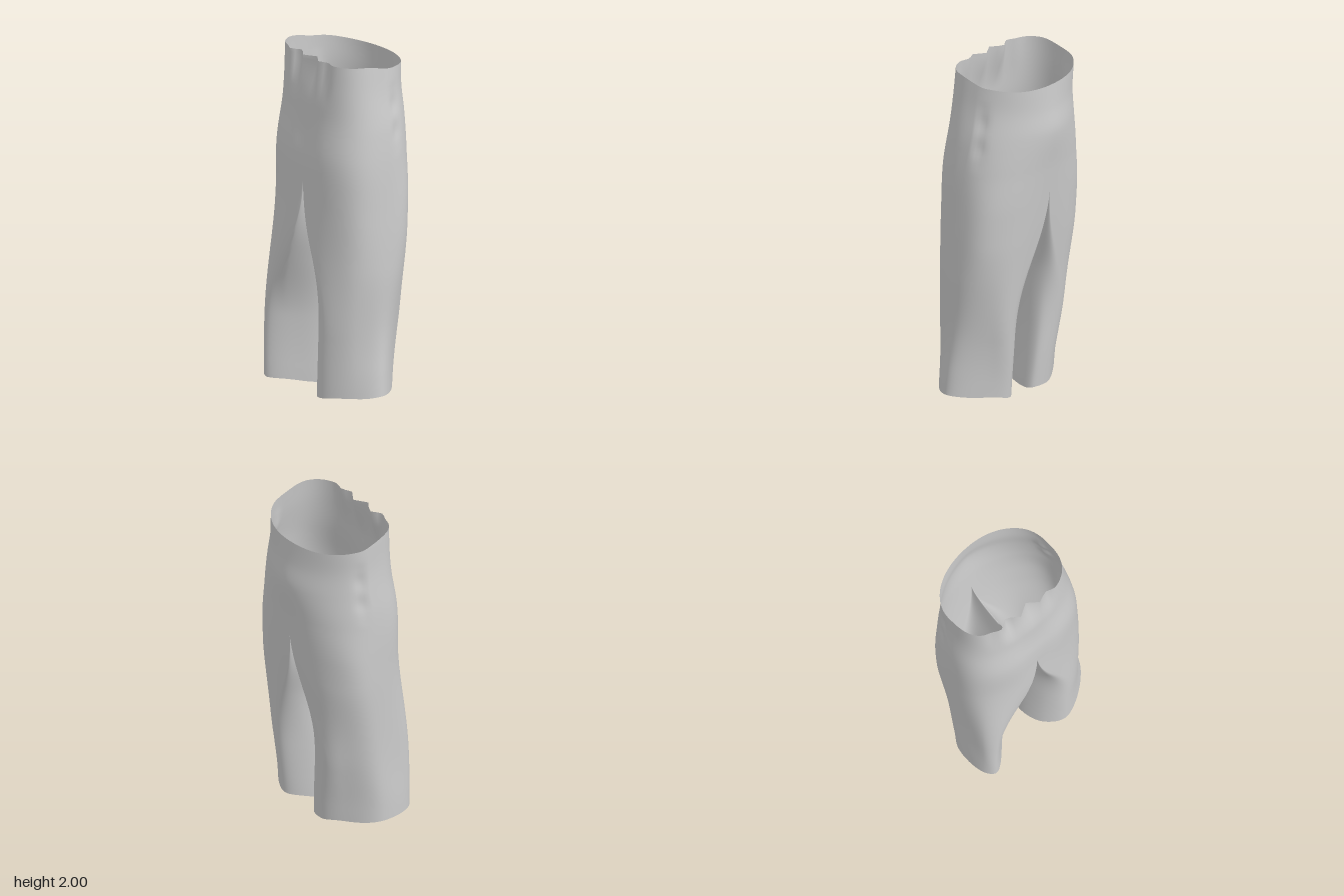
import * as THREE from 'three';
import { mergeVertices } from 'three/addons/utils/BufferGeometryUtils.js';

const SEAM_Z = -0.02;   // plane where the two halves meet
const CROTCH_Y = 1.3;   // height of the seam ends; it sags in between
const SAG = 0.13;
const ARC = 40;         // points around half a leg

// Closed smooth outline within a unit square: x is back to front, y is inseam to outside
const outline = (...points) => new THREE.CatmullRomCurve3(
  points.map(([u, w]) => new THREE.Vector3(u, w, 0)), true, 'centripetal');

// Profiles as [height, value], read from hem to waist
const BACK = [[0, -0.32], [0.5, -0.318], [1.1, -0.314], [1.42, -0.306], [1.67, -0.27], [1.85, -0.255], [2, -0.245]];
const FRONT = [[0, 0.15], [0.6, 0.205], [1.1, 0.265], [1.42, 0.297], [1.67, 0.322], [1.85, 0.305], [2, 0.294]];
// Roundness of the section: 1 is an ellipse, less is boxier, more is flatter at the corners
const FRONT_ROUND = [[0.4, 0.85], [1.2, 0.82], [1.45, 0.96], [1.67, 1.14], [1.85, 1.08], [2, 0.96]];
const BACK_ROUND = [[0.4, 0.88], [1.1, 0.82], [1.4, 0.73], [1.67, 0.7], [2, 0.64]];
// Hem outlines start at the front and run round the outside, back and inseam
const LEGS = {
  left: {
    side: 1,
    outer: [[0, 0.445], [0.12, 0.435], [0.43, 0.41], [0.8, 0.42], [1.2, 0.41], [1.6, 0.378], [1.85, 0.335], [2, 0.315]],
    inner: [[0, 0.01], [0.4, 0.033], [0.8, 0.047], [1.1, 0.005], [CROTCH_Y, SEAM_Z]],
    hem: outline([1, -0.22], [0.75, 0.35], [0, 1], [-0.57, 0.62], [-1, -0.25], [-0.7, -0.77], [-0.05, -1], [0.55, -0.76]),
  },
  right: {
    side: -1,
    outer: [[0, -0.415], [0.5, -0.42], [1.15, -0.445], [1.5, -0.437], [1.8, -0.412], [2, -0.408]],
    inner: [[0, -0.045], [0.4, -0.078], [0.8, -0.073], [1.1, -0.038], [CROTCH_Y, SEAM_Z]],
    hem: outline([1, -0.45], [0.73, 0.22], [0.1, 1], [-0.8, 0.92], [-1, 0.6], [-0.45, -0.2], [0.25, -0.88], [0.87, -1]),
  },
};

const step = THREE.MathUtils.smoothstep;
const lerp = THREE.MathUtils.lerp;

// Smoothly interpolated profile value
function sample(keys, y) {
  if (y <= keys[0][0]) return keys[0][1];
  for (let i = 1; i < keys.length; i++) {
    const [y0, v0] = keys[i - 1], [y1, v1] = keys[i];
    if (y <= y1) {
      const p = keys[Math.max(0, i - 2)], n = keys[Math.min(keys.length - 1, i + 1)];
      const m0 = (v1 - p[1]) / (y1 - p[0]), m1 = (n[1] - v0) / (n[0] - y0);
      const t = (y - y0) / (y1 - y0), h = y1 - y0, t2 = t * t, t3 = t2 * t;
      return (2 * t3 - 3 * t2 + 1) * v0 + (t3 - 2 * t2 + t) * h * m0 + (3 * t2 - 2 * t3) * v1 + (t3 - t2) * h * m1;
    }
  }
  return keys[keys.length - 1][1];
}

// Angle 0 is the front seam, PI the back; the outside lies between, the inseam after
function clothPoint(leg, y, angle) {
  const xb = sample(BACK, y), xf = sample(FRONT, y);
  const zo = sample(leg.outer, y), zi = y < CROTCH_Y ? sample(leg.inner, y) : SEAM_Z;
  const split = 1 - step(y, 0.4, CROTCH_Y);
  const centre = lerp(SEAM_Z, (zo + zi) / 2, split);
  const c = Math.cos(angle), s = Math.sin(angle);
  const outside = s >= 0;

  // Rounded section, turning into the hem outline further down
  const roundness = sample(c > 0 ? FRONT_ROUND : BACK_ROUND, y);
  const bend = (v) => Math.sign(v) * Math.pow(Math.abs(v), roundness);
  const hemShape = leg.hem.getPoint((angle / (2 * Math.PI)) % 1);
  const twist = 1 - step(y, 0.1, 1.2 - 0.13 * s - 0.13 * c);
  const u = lerp(bend(c), hemShape.x, twist), w = lerp(bend(s), hemShape.y, twist);
  let x = (xb + xf) / 2 + (xf - xb) / 2 * u;
  let z = centre + w * (w > 0 ? zo - centre : centre - zi);
  let h = y;

  // Sagging crotch seam
  if (!outside) h -= SAG * Math.abs(s) * step(y, 0.3, CROTCH_Y);
  // Hem rises towards the outside and back, waist dips to the front
  const hem = 1 - step(y, 0, 0.35);
  h += hem * (0.03 * (1 + s) * (leg.side > 0 ? 1 : 0.65) + 0.005 * Math.sin(angle * 3) ** 2);
  h -= (0.035 * step(x, -0.12, 0.1) + 0.02 * step(x, 0.1, 0.3)) * step(y, 1.5, 2);
  // Gathered pleats at the back of the waist
  const gather = step(y, 1.72, 2) * step(-c, 0.2, 0.6) * Math.exp(-(((z + 0.07) / 0.2) ** 4));
  x += gather * (0.028 + 0.024 * Math.sin(z * 44 + 2.6));
  // Shallow hollow along the back of the seat
  x += 0.015 * step(-c, 0.3, 0.9) * step(y, 0.9, 1.3) * (1 - step(y, 1.5, 1.75)) * Math.exp(-(((z - SEAM_Z) / 0.09) ** 2));
  // Soft folds down the outside of the legs, a crease below each pocket
  if (outside) {
    const fold = 0.006 * Math.sin(angle * 5 + y * 2.2) * step(y, 0, 0.4) * (1 - step(y, 1.1, 1.5)) * s;
    const crease = Math.exp(-(((x - 0.08) / 0.03) ** 2)) * step(y, 1.45, 1.6) * (1 - step(y, 1.8, 1.93));
    z += leg.side * (fold - crease * (0.012 + 0.003 * Math.sin(y * 40)));
  }
  return [x, h, z];
}

// Adds a grid of cloth between two angles and two heights
function addPanel(out, leg, a0, a1, y0, y1, rows) {
  const first = out.positions.length / 3, w = ARC + 1;
  for (let j = 0; j <= rows; j++) {
    for (let i = 0; i <= ARC; i++) {
      out.positions.push(...clothPoint(leg, lerp(y0, y1, j / rows), lerp(a0, a1, i / ARC)));
    }
  }
  for (let j = 0; j < rows; j++) {
    for (let i = 0; i < ARC; i++) {
      const a = first + j * w + i, b = a + 1, c = a + w, d = c + 1;
      if (leg.side > 0) out.indices.push(a, c, b, b, c, d);
      else out.indices.push(a, b, c, b, d, c);
    }
  }
}

export function createModel() {
  const group = new THREE.Group();
  group.name = 'trousers';
  const out = { positions: [], indices: [] };
  for (const leg of Object.values(LEGS)) {
    addPanel(out, leg, 0, Math.PI, 0, CROTCH_Y, 48);            // outside of the leg
    addPanel(out, leg, Math.PI, Math.PI * 2, 0, CROTCH_Y, 48);  // inseam
    addPanel(out, leg, 0, Math.PI, CROTCH_Y, 2, 32);            // hip and waist
  }
  let geometry = new THREE.BufferGeometry();
  geometry.setAttribute('position', new THREE.Float32BufferAttribute(out.positions, 3));
  geometry.setIndex(out.indices);
  geometry = mergeVertices(geometry, 1e-4);
  geometry.computeVertexNormals();

  const cloth = new THREE.Mesh(geometry, new THREE.MeshStandardMaterial({ color: 0xcccccc, side: THREE.DoubleSide }));
  cloth.name = 'trouserCloth';
  group.add(cloth);
  return group;
}
